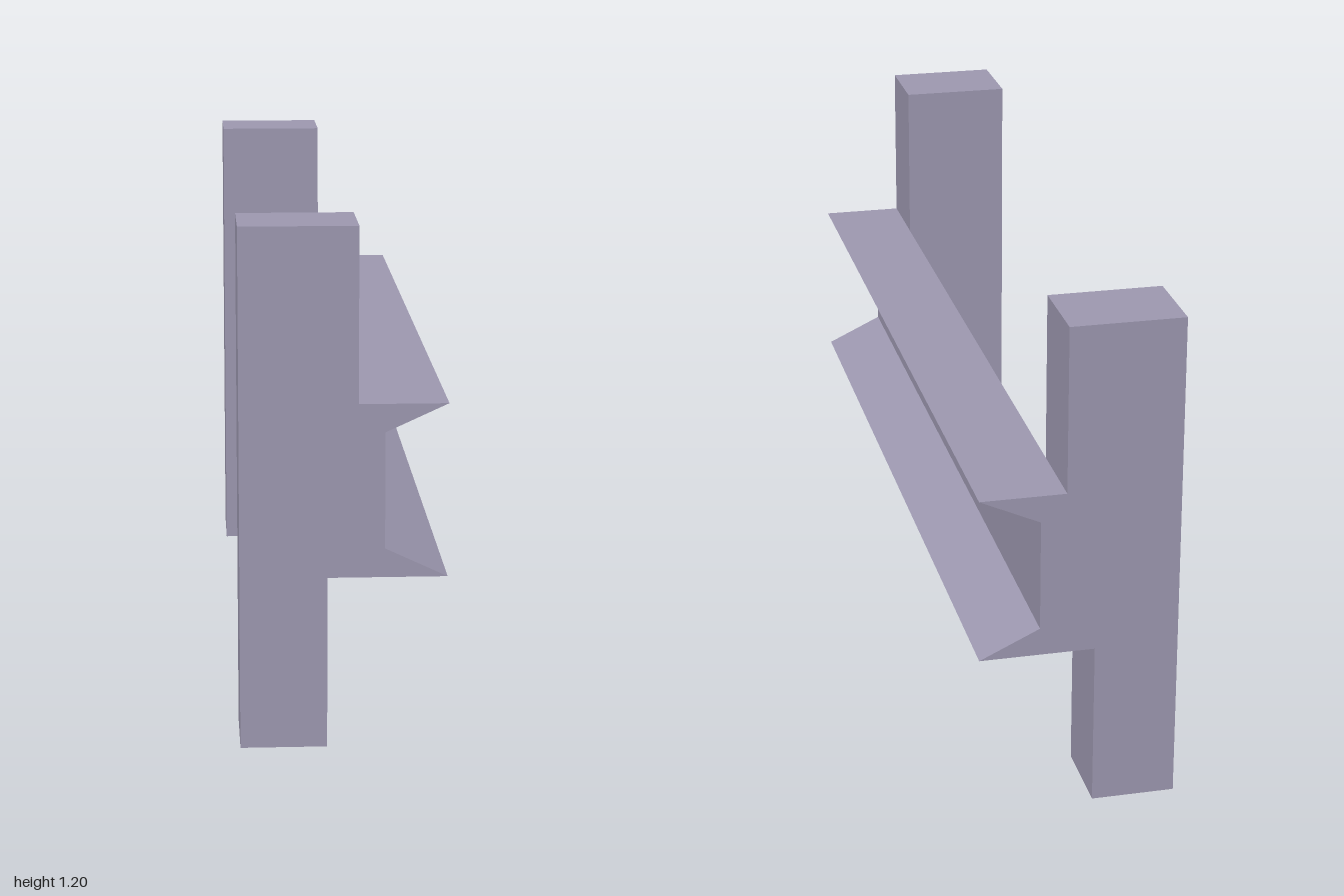
import * as THREE from 'three';

// Extrudes an x/y profile along z between two depths
function extrudeProfile(name, points, z0, z1, material) {
  const shape = new THREE.Shape(points.map(([x, y]) => new THREE.Vector2(x, y)));
  const geometry = new THREE.ExtrudeGeometry(shape, { depth: z1 - z0, bevelEnabled: false });
  geometry.translate(0, 0, z0);
  const mesh = new THREE.Mesh(geometry, material);
  mesh.name = name;
  return mesh;
}

export function createModel() {
  const group = new THREE.Group();
  group.name = 'guardRail';
  const steel = new THREE.MeshStandardMaterial({ color: 0x9d98b0 });
  steel.name = 'greyLavender';

  const back = -0.235, front = 0.235, seat = 0.033;

  // Posts, stepped back below the rail
  const post = [[back, 0], [-0.037, 0], [-0.037, 0.4], [seat, 0.4], [seat, 1.2], [back, 1.2]];
  group.add(extrudeProfile('frontPost', post, 0.8, 1, steel));
  group.add(extrudeProfile('rearPost', post, -1, -0.8, steel));

  // Channel rail with tapered lips
  const rail = [[seat, 0.4], [front, 0.4], [0.093, 0.467], [0.093, 0.735], [front, 0.8], [seat, 0.8]];
  group.add(extrudeProfile('rail', rail, -1, 1, steel));

  return group;
}
